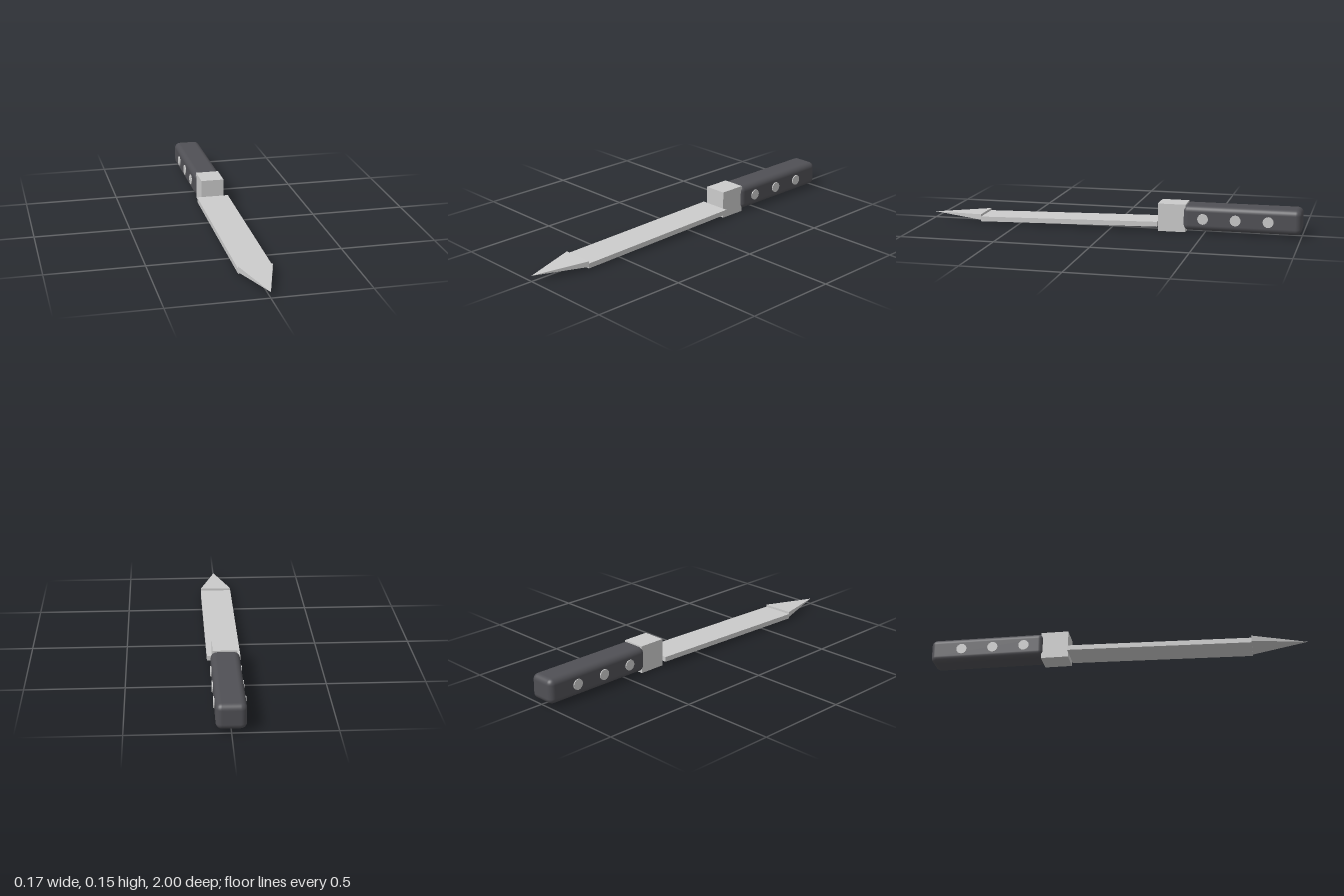
import * as THREE from 'three';
import { RoundedBoxGeometry } from 'three/addons/geometries/RoundedBoxGeometry.js';

export function createModel() {
  const group = new THREE.Group();
  const steel = new THREE.MeshStandardMaterial({ color: 0xcccccc, flatShading: true });
  const dark = new THREE.MeshStandardMaterial({ color: 0x505055 });

  const add = (name, geometry, material, x, y, z) => {
    const mesh = new THREE.Mesh(geometry, material);
    mesh.name = name;
    mesh.position.set(x, y, z);
    group.add(mesh);
    return mesh;
  };

  // Flat blade, sloping slightly down towards the tip
  const blade = add('blade', new THREE.BoxGeometry(0.172, 0.026, 0.967), steel, 0, 0.03, 0.2275);
  blade.rotation.x = 0.0207;

  // Tip: a four-sided pyramid stretched to the blade's width
  const tip = new THREE.ConeGeometry(Math.SQRT1_2, 1, 4, 1);
  tip.rotateY(Math.PI / 4);
  tip.rotateX(Math.PI / 2);
  tip.scale(0.172, 0.03, 0.29);
  add('bladeTip', tip, steel, 0, 0.03, 0.855);

  // Bolster block between blade and handle
  add('bolster', new THREE.BoxGeometry(0.124, 0.146, 0.145), steel, 0, 0.073, -0.3275);

  // Rounded grip
  add('handle', new RoundedBoxGeometry(0.146, 0.13, 0.615, 4, 0.03), dark, 0, 0.077, -0.6925);

  // Rivets passing through the grip
  for (const z of [-0.493, -0.662, -0.831]) {
    const rivet = new THREE.CylinderGeometry(0.028, 0.028, 0.156, 16);
    rivet.rotateZ(Math.PI / 2);
    add('rivet', rivet, steel, 0, 0.076, z);
  }
  return group;
}
